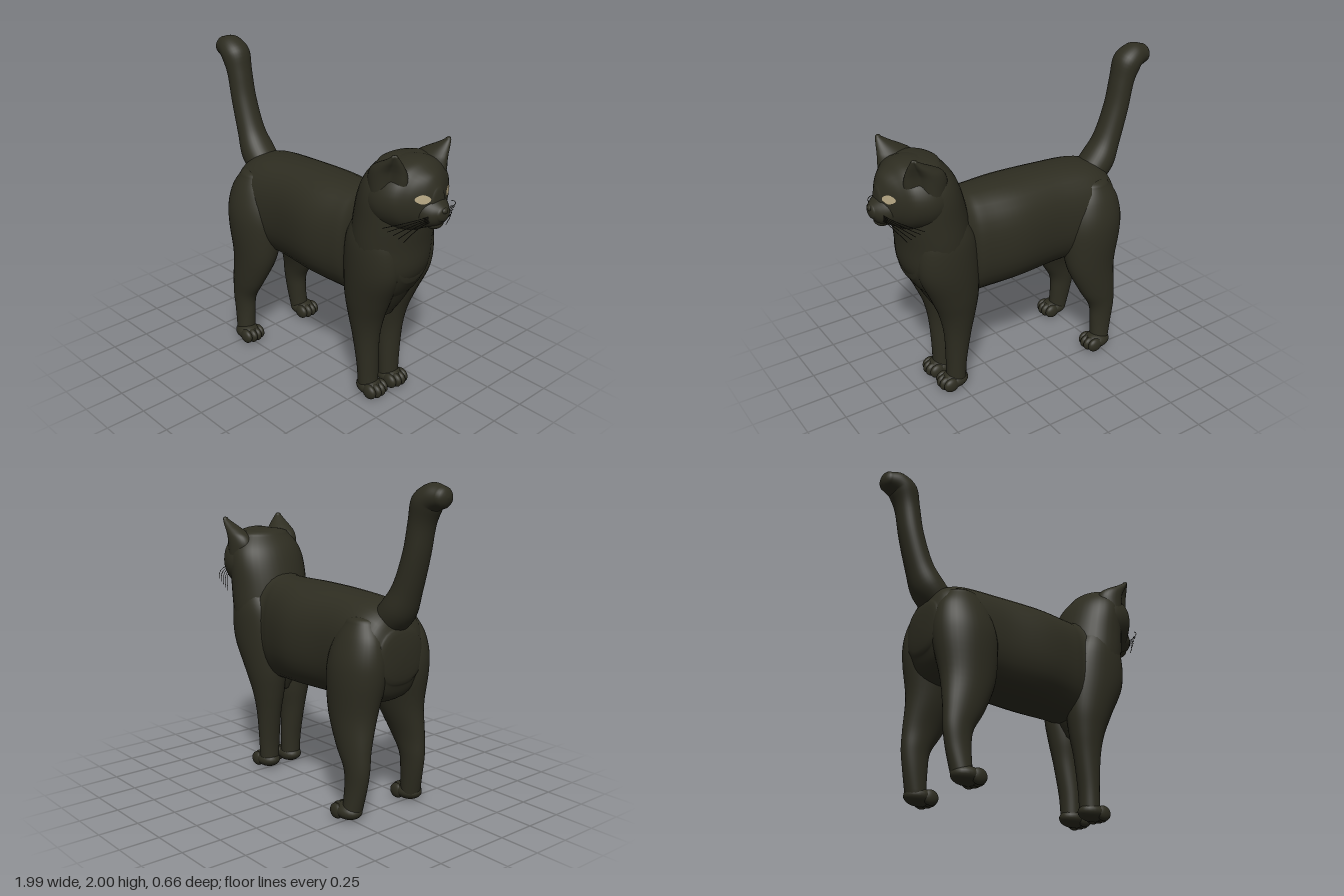
import * as THREE from 'three';

const fur = new THREE.MeshStandardMaterial({ color: 0x2e2d21 });
fur.name = 'dark fur';
const eyeMat = new THREE.MeshStandardMaterial({ color: 0xb8a985 });
eyeMat.name = 'pale eye';
const whiskerMat = new THREE.MeshStandardMaterial({ color: 0x16150f });
whiskerMat.name = 'black whisker';

// Catmull-Rom blend of one number column
function blend(a, b, c, d, t) {
  const m0 = (c - a) / 2, m1 = (d - b) / 2, t2 = t * t, t3 = t2 * t;
  return (2 * t3 - 3 * t2 + 1) * b + (t3 - 2 * t2 + t) * m0 + (3 * t2 - 2 * t3) * c + (t3 - t2) * m1;
}

// Smooth skin through elliptical rings [centre xyz, u xyz, v xyz], with domed ends.
// u x v points along the loft; shape(angle) can vary the ring radius.
function loft(rings, bulge = 0.03, steps = 5, shape = () => 1, sides = 36) {
  const rows = [];
  const at = i => rings[Math.max(0, Math.min(rings.length - 1, i))];
  for (let i = 0; i < rings.length - 1; i++)
    for (let s = 0; s < steps; s++)
      rows.push(at(i).map((_, k) => blend(at(i - 1)[k], at(i)[k], at(i + 1)[k], at(i + 2)[k], s / steps)));
  rows.push(at(rings.length - 1));
  const dome = (row, sign) => {
    const axis = new THREE.Vector3(...row.slice(3, 6)).cross(new THREE.Vector3(...row.slice(6, 9))).normalize().toArray();
    return [1, 2, 3, 4, 5].map(k => {
      const a = k / 5 * Math.PI / 2, f = Math.max(Math.cos(a), 0.001);
      return row.map((n, j) => j < 3 ? n + sign * axis[j] * bulge * Math.sin(a) : n * f);
    });
  };
  const all = [...dome(rows[0], -1).reverse(), ...rows, ...dome(rows[rows.length - 1], 1)];
  const pos = [], idx = [];
  all.forEach((r, i) => {
    for (let j = 0; j < sides; j++) {
      const a = j / sides * Math.PI * 2, f = shape(a), c = Math.cos(a) * f, s = Math.sin(a) * f;
      for (let k = 0; k < 3; k++) pos.push(r[k] + r[3 + k] * c + r[6 + k] * s);
      if (i < all.length - 1) {
        const p = i * sides + j, q = i * sides + (j + 1) % sides;
        idx.push(p, q, p + sides, q, q + sides, p + sides);
      }
    }
  });
  const g = new THREE.BufferGeometry();
  g.setAttribute('position', new THREE.Float32BufferAttribute(pos, 3));
  g.setIndex(idx);
  g.computeVertexNormals();
  return g;
}

// Ring across x from bottom, top and half width; ring across y from back, front and z range
const ringX = ([x, yb, yt, w]) => [x, (yb + yt) / 2, 0, 0, (yt - yb) / 2, 0, 0, 0, w];
const ringY = ([y, xb, xf, zi, zo], s = 1) =>
  [(xb + xf) / 2, y, s * (zi + zo) / 2, 0, 0, (zo - zi) / 2, (xf - xb) / 2, 0, 0];

export function createModel() {
  const cat = new THREE.Group();
  cat.name = 'cat';
  const add = (name, geo, mat = fur, parent = cat) => {
    const m = new THREE.Mesh(geo, mat);
    m.name = name;
    parent.add(m);
    return m;
  };
  const blob = (name, x, y, z, rx, ry, rz, parent = cat) => {
    const m = add(name, new THREE.SphereGeometry(1, 24, 16), fur, parent);
    m.position.set(x, y, z);
    m.scale.set(rx, ry, rz);
  };
  // slightly squared ring for the trunk
  const boxy = a => Math.pow(Math.abs(Math.cos(a)) ** 2.4 + Math.abs(Math.sin(a)) ** 2.4, -1 / 2.4);

  // Trunk
  add('body', loft([
    [-0.66, 0.82, 1.16, 0.17], [-0.61, 0.73, 1.245, 0.225], [-0.48, 0.68, 1.3, 0.26], [-0.2, 0.67, 1.325, 0.252],
    [0.1, 0.66, 1.33, 0.272], [0.33, 0.65, 1.33, 0.235], [0.43, 0.64, 1.34, 0.215], [0.58, 0.64, 1.38, 0.24],
    [0.7, 0.74, 1.38, 0.21], [0.77, 0.84, 1.3, 0.15]].map(ringX), 0.025, 6, boxy));

  // Chest and neck
  add('neck', loft([
    [0.57, 0.43, 0.6, -0.09, 0.09], [0.66, 0.39, 0.655, -0.17, 0.17], [0.77, 0.37, 0.715, -0.22, 0.22],
    [0.92, 0.38, 0.8, -0.25, 0.25], [1.1, 0.38, 0.815, -0.266, 0.266], [1.25, 0.4, 0.83, -0.266, 0.266],
    [1.4, 0.44, 0.83, -0.264, 0.264], [1.5, 0.485, 0.83, -0.24, 0.24], [1.58, 0.55, 0.8, -0.18, 0.18]]
    .map(r => ringY(r)), 0.035));

  // Head
  const head = add('head', loft([
    [0.52, 1.25, 1.52, 0.18], [0.6, 1.2, 1.59, 0.245], [0.7, 1.18, 1.62, 0.266], [0.8, 1.2, 1.615, 0.235],
    [0.86, 1.23, 1.58, 0.172], [0.905, 1.25, 1.545, 0.105], [0.932, 1.28, 1.49, 0.055]].map(ringX), 0.012, 6));

  // Muzzle, nose and chin
  const muzzle = add('muzzle', loft([
    [0.84, 1.235, 1.48, 0.13], [0.91, 1.25, 1.44, 0.105], [0.95, 1.27, 1.41, 0.078],
    [0.975, 1.3, 1.39, 0.05]].map(ringX), 0.015));
  blob('nose', 0.975, 1.365, 0, 0.022, 0.02, 0.026);
  blob('chin', 0.915, 1.275, 0, 0.045, 0.035, 0.055);

  // Tail: rings square to a curved path [x, y, radius]
  const tail = [[-0.52, 1.15, 0.1], [-0.635, 1.265, 0.105], [-0.705, 1.4, 0.085], [-0.77, 1.6, 0.077],
    [-0.805, 1.77, 0.077], [-0.84, 1.88, 0.088], [-0.895, 1.918, 0.08], [-0.955, 1.918, 0.062]];
  add('tail', loft(tail.map(([x, y, r], i) => {
    const a = tail[Math.max(0, i - 1)], b = tail[Math.min(tail.length - 1, i + 1)];
    const l = Math.hypot(b[0] - a[0], b[1] - a[1]), tx = (b[0] - a[0]) / l, ty = (b[1] - a[1]) / l;
    return [x, y, 0, 0, 0, r * 1.08, ty * r, -tx * r, 0];
  }), 0.04));

  const ray = new THREE.Raycaster();
  cat.updateMatrixWorld(true);
  for (const s of [1, -1]) {
    const side = s > 0 ? 'left' : 'right';

    // Legs, rows of [y, back, front, inner z, outer z]
    add(side + 'FrontLeg', loft([
      [0.06, 0.455, 0.58, 0.025, 0.155], [0.2, 0.447, 0.58, 0.022, 0.162], [0.4, 0.415, 0.59, 0.02, 0.18],
      [0.55, 0.385, 0.62, 0.0, 0.205], [0.7, 0.365, 0.68, -0.01, 0.235], [0.9, 0.37, 0.765, 0.0, 0.262],
      [1.1, 0.4, 0.76, 0.03, 0.266], [1.22, 0.46, 0.7, 0.07, 0.24]].map(r => ringY(r, s)), 0.06));
    add(side + 'HindLeg', loft([
      [0.06, -0.58, -0.455, 0.18, 0.302], [0.2, -0.612, -0.457, 0.17, 0.29], [0.32, -0.63, -0.445, 0.16, 0.292],
      [0.45, -0.63, -0.37, 0.135, 0.302], [0.64, -0.632, -0.285, 0.07, 0.312], [0.85, -0.67, -0.26, 0.02, 0.326],
      [0.98, -0.675, -0.275, 0.02, 0.318], [1.1, -0.65, -0.32, 0.04, 0.282],
      [1.19, -0.595, -0.38, 0.06, 0.235]].map(r => ringY(r, s)), 0.035));

    // Paws with four toes
    for (const [name, x, z] of [['FrontPaw', 0.545, 0.09], ['HindPaw', -0.48, 0.248]]) {
      const paw = new THREE.Group();
      paw.name = side + name;
      paw.position.set(x, 0, s * z);
      cat.add(paw);
      blob('pad', -0.01, 0.055, 0, 0.095, 0.053, 0.076, paw);
      for (let i = 0; i < 4; i++) {
        const o = i - 1.5;
        blob('toe', 0.058 - Math.abs(o) * 0.014, 0.049, o * 0.035, 0.052, 0.047, 0.028, paw);
      }
    }

    // Ear: broad leaning cone, hollowed on its front outer side
    const open = s > 0 ? Math.PI / 4 : Math.PI * 3 / 4;
    const hollow = a => 1 - 0.5 * Math.max(0, Math.cos(a - open)) ** 4;
    add(side + 'Ear', loft([
      [1.44, 0.59, 0.84, 0.08, 0.262], [1.52, 0.585, 0.85, 0.09, 0.262], [1.575, 0.61, 0.845, 0.105, 0.26],
      [1.61, 0.66, 0.838, 0.13, 0.255], [1.645, 0.725, 0.83, 0.163, 0.248],
      [1.68, 0.782, 0.82, 0.198, 0.238]].map(r => ringY(r, s)), 0.013, 5, hollow));

    // Almond eye wrapped onto the face
    const eye = new THREE.CircleGeometry(1, 24), p = eye.attributes.position;
    for (let i = 0; i < p.count; i++) {
      const u = p.getX(i), v = p.getY(i);
      const z = s * 0.1 - u * 0.041, y = 1.437 + v * 0.027 * (1 - 0.2 * Math.abs(u)) - s * u * 0.003;
      ray.set(new THREE.Vector3(2, y, z), new THREE.Vector3(-1, 0, 0));
      p.setXYZ(i, ray.intersectObjects([head, muzzle])[0].point.x + 0.006, y, z);
    }
    eye.computeVertexNormals();
    add(side + 'Eye', eye, eyeMat);

    // Whiskers
    for (let i = 0; i < 5; i++) {
      const y = 1.34 - i * 0.009, end = 0.285 - i * 0.027;
      const path = new THREE.QuadraticBezierCurve3(
        new THREE.Vector3(0.94, y, s * 0.075),
        new THREE.Vector3(0.935, y + 0.005, s * (0.075 + end) * 0.55),
        new THREE.Vector3(0.79 + i * 0.015, 1.285 - i * 0.025, s * end));
      add(side + 'Whisker', new THREE.TubeGeometry(path, 12, 0.002, 5), whiskerMat);
    }
  }
  return cat;
}
